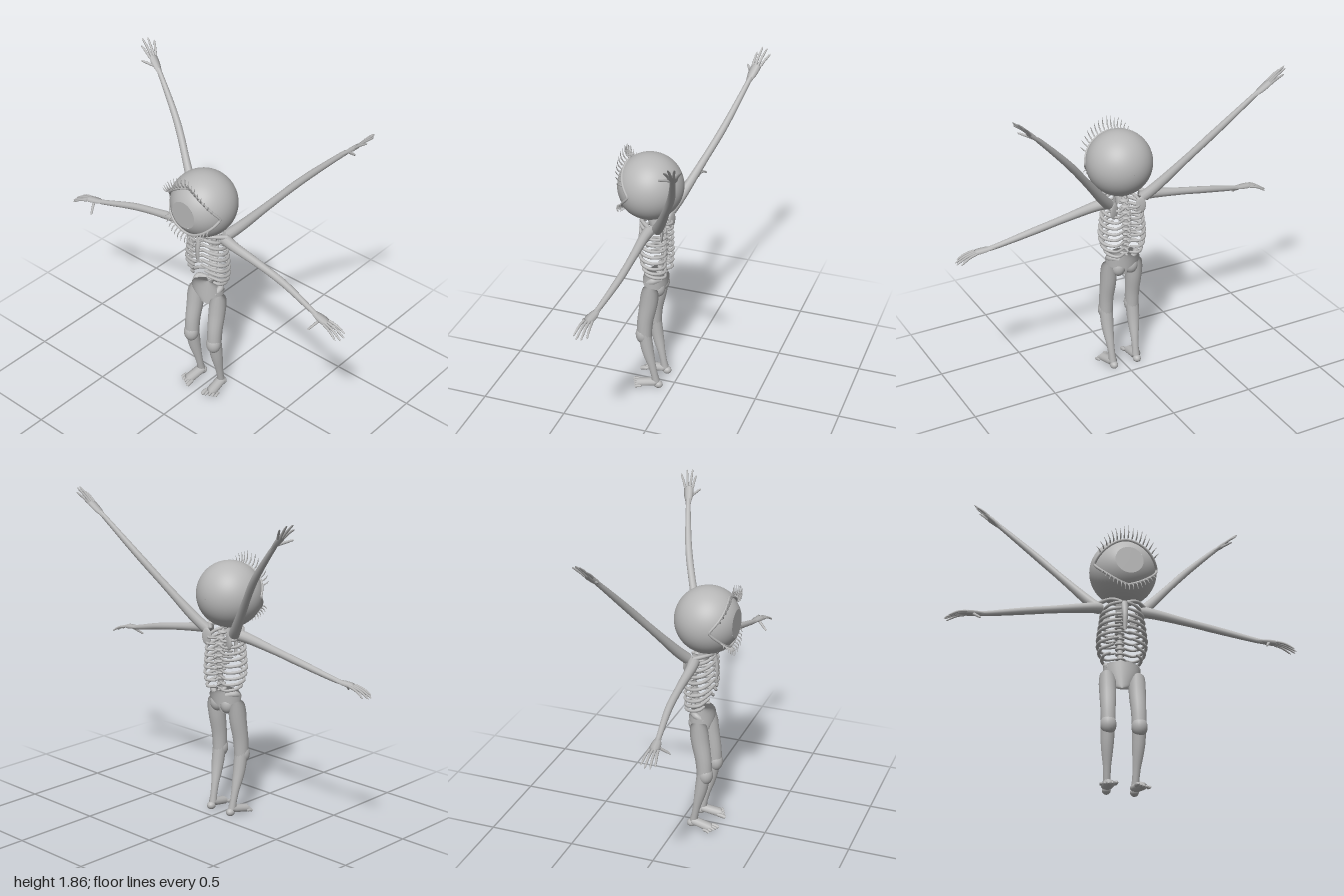
import * as THREE from 'three';
import { ParametricGeometry } from 'three/addons/geometries/ParametricGeometry.js';

const bone = new THREE.MeshStandardMaterial({ color: 0xb8b8b8 });
bone.name = 'light grey bone';
const V = (x, y, z) => new THREE.Vector3(x, y, z);
const HEAD = V(0, 1.3, 0.143), HEAD_R = 0.19;

function add(parent, name, geometry) {
  const mesh = new THREE.Mesh(geometry, bone);
  mesh.name = name;
  parent.add(mesh);
  return mesh;
}

// Rounded tapering tube through points; radii are spread evenly along it,
// squash scales its thickness along x, y and z.
function limb(pts, radii, { seg = 20, sides = 10, squash = [1, 1, 1], round = 0.05 } = {}) {
  const curve = new THREE.CatmullRomCurve3(pts.map(p => (p.isVector3 ? p : V(...p))));
  const geo = new THREE.TubeGeometry(curve, seg, 1, sides, false);
  const pos = geo.attributes.position, v = V(0, 0, 0), s = V(...squash);
  for (let i = 0; i <= seg; i++) {
    const t = i / seg, f = t * (radii.length - 1), k = Math.min(Math.floor(f), radii.length - 2);
    const end = Math.min(1, Math.sqrt(Math.min(t, 1 - t) / round));
    const r = THREE.MathUtils.lerp(radii[k], radii[k + 1], f - k) * end;
    const c = curve.getPointAt(t);
    for (let j = 0; j <= sides; j++) {
      const n = i * (sides + 1) + j;
      v.fromBufferAttribute(pos, n).sub(c).multiply(s).multiplyScalar(r).add(c);
      pos.setXYZ(n, v.x, v.y, v.z);
    }
  }
  return geo;
}

function ball(parent, name, r, p, scale = [1, 1, 1]) {
  const m = add(parent, name, new THREE.SphereGeometry(r, 20, 14));
  m.position.set(...p);
  m.scale.set(...scale);
  return m;
}

// Almond-shaped eye opening, measured from the eye axis
function openingRadius(phi) {
  const c = Math.abs(Math.cos(phi)) / 0.178;
  const s = Math.abs(Math.sin(phi)) / (Math.sin(phi) > 0 ? 0.148 : 0.137);
  return Math.pow(c ** 1.5 + s ** 1.5, -1 / 1.5);
}
function rimPoint(phi, lift = 0) {
  const r = openingRadius(phi);
  return V(r * Math.cos(phi), r * Math.sin(phi), Math.sqrt(HEAD_R ** 2 - r * r))
    .multiplyScalar(1 + lift / HEAD_R).add(HEAD);
}

function buildHead(root) {
  const head = new THREE.Group();
  head.name = 'head';
  root.add(head);
  // skull sphere left open in front of the eye
  add(head, 'skull', new ParametricGeometry((u, v, out) => {
    const phi = -u * Math.PI * 2;
    const start = Math.asin(openingRadius(phi) / HEAD_R);
    const th = start + (Math.PI - start) * v;
    out.set(Math.sin(th) * Math.cos(phi), Math.sin(th) * Math.sin(phi), Math.cos(th))
      .multiplyScalar(HEAD_R).add(HEAD);
  }, 64, 32));
  // eyeball with a flat round iris
  const eyeR = 0.183, irisR = 0.08, cut = Math.asin(irisR / eyeR);
  const eye = add(head, 'eyeball', new THREE.SphereGeometry(eyeR, 48, 24, 0, Math.PI * 2, cut, 1.3 - cut));
  eye.rotation.x = Math.PI / 2;
  eye.position.copy(HEAD);
  const iris = add(head, 'iris', new THREE.CircleGeometry(irisR, 40));
  iris.position.set(0, HEAD.y, HEAD.z + eyeR * Math.cos(cut));
  // lids
  const rim = [];
  for (let i = 0; i < 48; i++) rim.push(rimPoint(i / 48 * Math.PI * 2));
  add(head, 'eyelids', new THREE.TubeGeometry(new THREE.CatmullRomCurve3(rim, true), 96, 0.0075, 8, true));
  // lashes curl forward, then away from the eye
  const lashes = (name, n, from, to, len) => {
    for (let i = 0; i < n; i++) {
      const phi = from + (to - from) * i / (n - 1);
      const a = rimPoint(phi, 0.004);
      const dir = V(Math.cos(phi) * 0.4, Math.sin(phi), 0);
      const b = a.clone().addScaledVector(dir, len * 0.35).add(V(0, 0, 0.02));
      const c = a.clone().addScaledVector(dir, len).add(V(0, 0, 0.024));
      add(head, name, limb([a, b, c], [0.005, 0.0035, 0.001], { seg: 8, sides: 5 }));
    }
  };
  lashes('upperLash', 17, 0.35, Math.PI - 0.35, 0.076);
  lashes('lowerLash', 15, -0.45, -Math.PI + 0.45, 0.05);
}

function buildTorso(root) {
  const torso = new THREE.Group();
  torso.name = 'torso';
  root.add(torso);
  // spine
  const spine = new THREE.CatmullRomCurve3([V(0, 0.71, 0.1), V(0, 0.8, 0.075), V(0, 0.95, 0.055),
    V(0, 1.07, 0.075), V(0, 1.16, 0.13)]);
  add(torso, 'spine', new THREE.TubeGeometry(spine, 30, 0.017, 10));
  for (let i = 0; i < 14; i++) {
    const p = spine.getPointAt((i + 0.5) / 14);
    ball(torso, 'vertebra', 0.026, [p.x, p.y, p.z], [1.1, 0.45, 0.9]);
    ball(torso, 'spinousProcess', 0.01, [p.x, p.y - 0.006, p.z - 0.024], [0.7, 0.8, 1.6]);
  }
  add(torso, 'neck', limb([[0, 1.06, 0.11], [0, 1.16, 0.14]], [0.035, 0.04]));
  add(torso, 'breastbone', limb([[0, 1.11, 0.175], [0, 1.02, 0.197], [0, 0.92, 0.192]],
    [0.022, 0.016, 0.01], { squash: [1, 1, 0.5] }));
  // ribs rise towards the front; the lowest ones stay open there
  const widths = [0.1, 0.116, 0.122, 0.127, 0.132, 0.136, 0.135, 0.126, 0.108];
  widths.forEach((w, i) => {
    const y = 1.072 - i * 0.036, t = Math.max(0, i - 5);
    const zf = 0.19 - t * 0.008, zb = 0.045, zm = (zf + zb) / 2;
    for (const s of [-1, 1]) {
      const pts = [[0.012 * s, y - 0.014, zb + 0.008], [w * 0.6 * s, y - 0.018, zb - 0.01],
        [w * 0.97 * s, y - 0.012, zm - 0.03], [w * 0.97 * s, y + 0.002, zm + 0.025],
        [w * 0.65 * s, y + 0.014, zf - 0.015]];
      if (t < 3) pts.push([(0.012 + t * 0.02) * s, y + 0.024, zf]);
      add(torso, 'rib', limb(pts, [0.007, 0.008, 0.0095, 0.0095, 0.008], { seg: 28, sides: 8, round: 0.03 }));
    }
  });
  // pelvis: broad at the hips, narrow between the legs
  add(torso, 'pelvis', limb([[0, 0.605, 0.118], [0, 0.68, 0.113], [0, 0.745, 0.108]],
    [0.045, 0.058, 0.082, 0.102, 0.106, 0.085], { squash: [1, 1, 0.68], sides: 28, seg: 28, round: 0.07 }));
  for (const s of [-1, 1]) {
    ball(torso, 'buttock', 0.042, [0.04 * s, 0.668, 0.086], [1, 1.25, 1]);
    add(torso, 'hipCrest', limb([[0.04 * s, 0.725, 0.065], [0.084 * s, 0.735, 0.1], [0.08 * s, 0.705, 0.148]],
      [0.014, 0.02, 0.012]));
    add(torso, 'collarbone', limb([[0.012 * s, 1.1, 0.18], [0.07 * s, 1.115, 0.17], [0.14 * s, 1.11, 0.1]],
      [0.011, 0.01, 0.014]));
    const blade = ball(torso, 'shoulderBlade', 0.04, [0.085 * s, 1.055, 0.045], [0.75, 1.25, 0.22]);
    blade.rotation.y = 0.3 * s;
  }
}

// One arm on side s: path from shoulder to wrist, then palm, fingers and thumb
function buildArm(root, name, s, { path, radii, palm, spread, tips, thumb, thumbRoot, bend }) {
  const arm = new THREE.Group();
  arm.name = name;
  root.add(arm);
  const P = a => V(a[0] * s, a[1], a[2]);
  const wrist = P(path[path.length - 1]), knuckle = P(palm);
  add(arm, 'armBone', limb([...path.map(P), wrist.clone().lerp(knuckle, 0.35)], radii,
    { seg: 40, round: 0.02, sides: 12 }));
  add(arm, 'palm', limb([wrist.clone().lerp(knuckle, -0.35), wrist.clone().lerp(knuckle, 0.4), knuckle],
    [0.009, 0.012, 0.018, 0.02, 0.019], { squash: [0.65, 0.65, 1.5], round: 0.1 }));
  tips.forEach((t, i) => {
    const tip = P(t), base = knuckle.clone().add(V(0, 0, spread * (i - 1.5)));
    base.lerp(wrist, 0.15);
    const mid = base.clone().lerp(tip, 0.5).add(V(0, bend, 0));
    add(arm, 'finger', limb([base, mid, tip], [0.008, 0.007, 0.0065, 0.004], { seg: 12, sides: 7 }));
  });
  const base = wrist.clone().lerp(knuckle, thumbRoot), tip = P(thumb);
  add(arm, 'thumb', limb([base, base.clone().lerp(tip, 0.5), tip],
    [0.01, 0.008, 0.007, 0.005], { seg: 12, sides: 7 }));
}

function buildLeg(root, s) {
  const leg = new THREE.Group();
  leg.name = s > 0 ? 'leftLeg' : 'rightLeg';
  root.add(leg);
  const P = (x, y, z) => V(x * s, y, z);
  add(leg, 'thigh', limb([P(0.085, 0.705, 0.113), P(0.083, 0.58, 0.128), P(0.085, 0.45, 0.15), P(0.086, 0.32, 0.158)],
    [0.04, 0.05, 0.048, 0.044, 0.042, 0.041], { seg: 28, sides: 16, squash: [0.95, 1, 1.08], round: 0.08 }));
  ball(leg, 'knee', 0.043, [0.086 * s, 0.365, 0.163], [1.02, 1.35, 1]);
  add(leg, 'shin', limb([P(0.086, 0.41, 0.158), P(0.086, 0.26, 0.135), P(0.081, 0.14, 0.108), P(0.077, 0.025, 0.085)],
    [0.04, 0.039, 0.037, 0.031, 0.023, 0.02, 0.026], { seg: 30, sides: 14 }));
  // foot
  ball(leg, 'heel', 0.025, [0.077 * s, 0.024, 0.075], [0.95, 0.92, 1.1]);
  add(leg, 'foot', limb([P(0.077, 0.045, 0.075), P(0.082, 0.034, 0.13), P(0.09, 0.02, 0.205)],
    [0.03, 0.029, 0.03, 0.031], { squash: [1.1, 0.75, 0.75], sides: 14, round: 0.12 }));
  for (let i = 0; i < 5; i++) {
    const x = 0.058 + i * 0.017, r = i ? 0.0085 : 0.012;
    add(leg, 'toe', limb([P(x, 0.022, 0.185 - i * 0.006), P(x + i * 0.001, 0.02, 0.215 - i * 0.007),
      P(x + i * 0.002, 0.012, 0.24 - i * 0.009)], [r, r, r], { seg: 10, sides: 8, round: 0.2 }));
  }
}

export function createModel() {
  const root = new THREE.Group();
  root.name = 'fourArmedSkeleton';
  buildHead(root);
  buildTorso(root);
  const upper = {
    path: [[0.1, 1.085, 0.07], [0.16, 1.15, 0.03], [0.3, 1.32, -0.055], [0.45, 1.5, -0.14], [0.655, 1.715, -0.22]],
    radii: [0.032, 0.029, 0.024, 0.021, 0.021, 0.019, 0.016, 0.013],
    palm: [0.728, 1.782, -0.243], spread: -0.017, bend: 0.004,
    tips: [[0.795, 1.83, -0.222], [0.812, 1.86, -0.25], [0.797, 1.858, -0.28], [0.772, 1.838, -0.308]],
    thumb: [0.755, 1.765, -0.178], thumbRoot: 0.25,
  };
  const lower = {
    path: [[0.1, 1.09, 0.1], [0.18, 1.078, 0.11], [0.35, 1.05, 0.112], [0.55, 1.012, 0.12], [0.79, 0.954, 0.153]],
    radii: [0.034, 0.028, 0.024, 0.021, 0.021, 0.019, 0.016, 0.013],
    palm: [0.885, 0.943, 0.167], spread: 0.017, bend: 0.009,
    tips: [[0.98, 0.9, 0.133], [0.998, 0.895, 0.16], [0.995, 0.893, 0.188], [0.975, 0.9, 0.21]],
    thumb: [0.805, 0.893, 0.23], thumbRoot: 0.55,
  };
  for (const s of [1, -1]) {
    const side = s > 0 ? 'left' : 'right';
    buildArm(root, side + 'UpperArm', s, upper);
    buildArm(root, side + 'LowerArm', s, lower);
    buildLeg(root, s);
  }
  return root;
}
